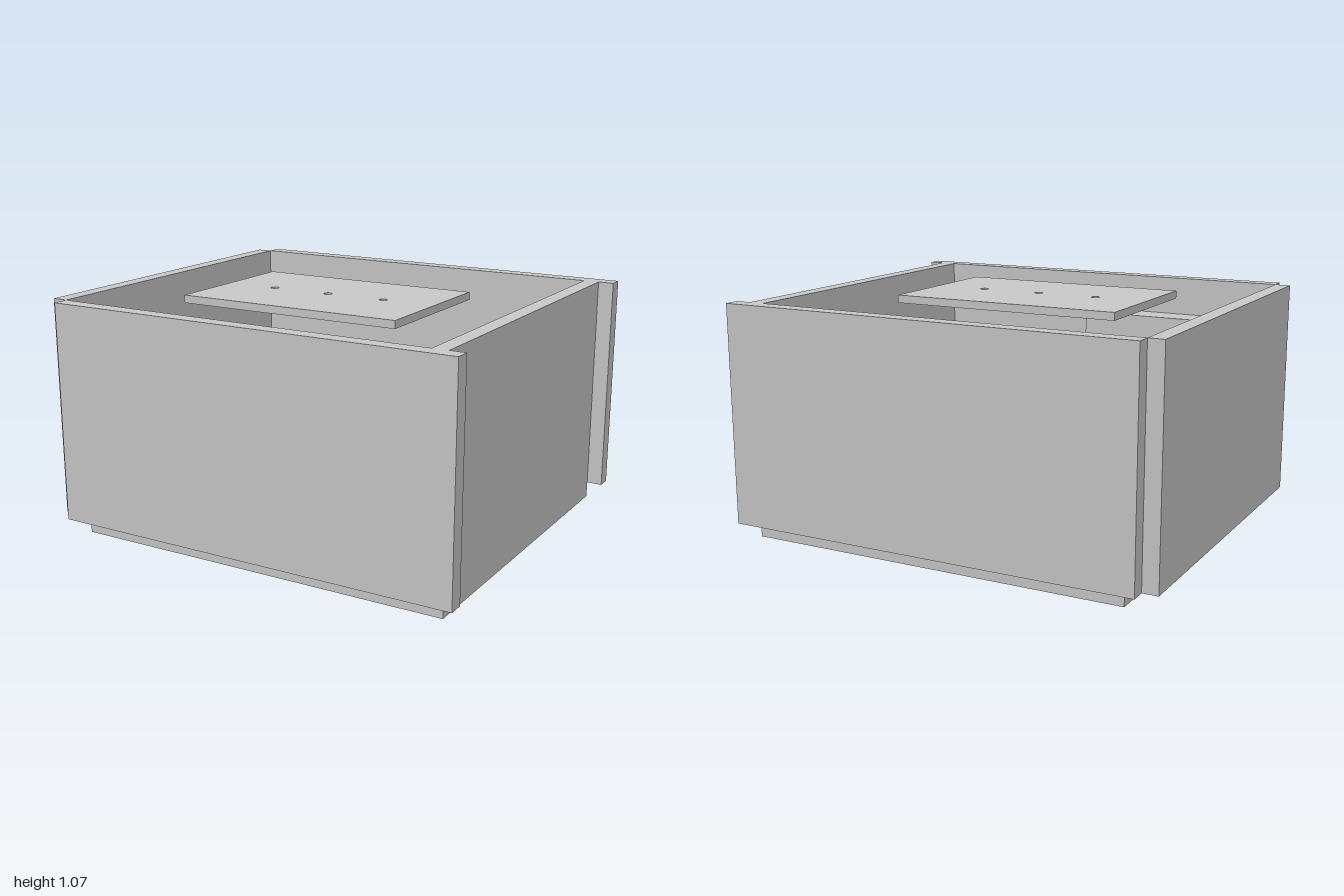
import * as THREE from 'three';

export function createModel() {
  const model = new THREE.Group();
  model.name = 'openBox';

  const grey = new THREE.MeshStandardMaterial({ color: 0xc8c8c8 });
  grey.name = 'plain grey';

  const T = 1 / 14;      // board thickness
  const TOP = 15 * T;    // rim height
  const Z = 11.25 * T;   // half depth between front and back panels

  // Axis-aligned board given by its limits
  function board(name, x0, x1, y0, y1, z0, z1) {
    const mesh = new THREE.Mesh(new THREE.BoxGeometry(x1 - x0, y1 - y0, z1 - z0), grey);
    mesh.position.set((x0 + x1) / 2, (y0 + y1) / 2, (z0 + z1) / 2);
    mesh.name = name;
    model.add(mesh);
  }

  // Floor and walls; the right wall stands clear of the floor
  board('floor', -12 * T, 12 * T, 0, T, -Z, Z);
  board('leftWall', 12 * T, 13 * T, 0, TOP, -Z, Z);
  board('rightWall', -1, -13 * T, T, TOP, -Z, Z);
  board('frontPanel', -13 * T, 1, T, TOP, Z, Z + T);
  board('backPanel', -13 * T, 1, T, TOP, -Z - T, -Z);

  // Blocks against the inside of the front panel
  board('lowerBlock', -12 * T, 3 * T, T, 5.5 * T, Z - 3 * T, Z);
  board('upperBlock', -12 * T, 0, 8.5 * T, 12.5 * T, Z - 2 * T, Z);

  // Raised plate with a row of three holes
  const x0 = -8 * T, x1 = 7 * T, zBack = -0.29, zFront = 0.424;
  const outline = new THREE.Shape([
    new THREE.Vector2(x0, -zFront), new THREE.Vector2(x1, -zFront),
    new THREE.Vector2(x1, -zBack), new THREE.Vector2(x0, -zBack),
  ]);
  for (const i of [-1, 0, 1]) {
    const hole = new THREE.Path();
    hole.absarc((x0 + x1) / 2 + i * 4 * T, -0.067, 0.019, 0, Math.PI * 2, true);
    outline.holes.push(hole);
  }
  const plateGeometry = new THREE.ExtrudeGeometry(outline, {
    depth: T / 2, bevelEnabled: false, curveSegments: 24,
  });
  plateGeometry.rotateX(-Math.PI / 2);
  const plate = new THREE.Mesh(plateGeometry, grey);
  plate.position.y = 1.03;
  plate.name = 'drilledPlate';
  model.add(plate);

  return model;
}
